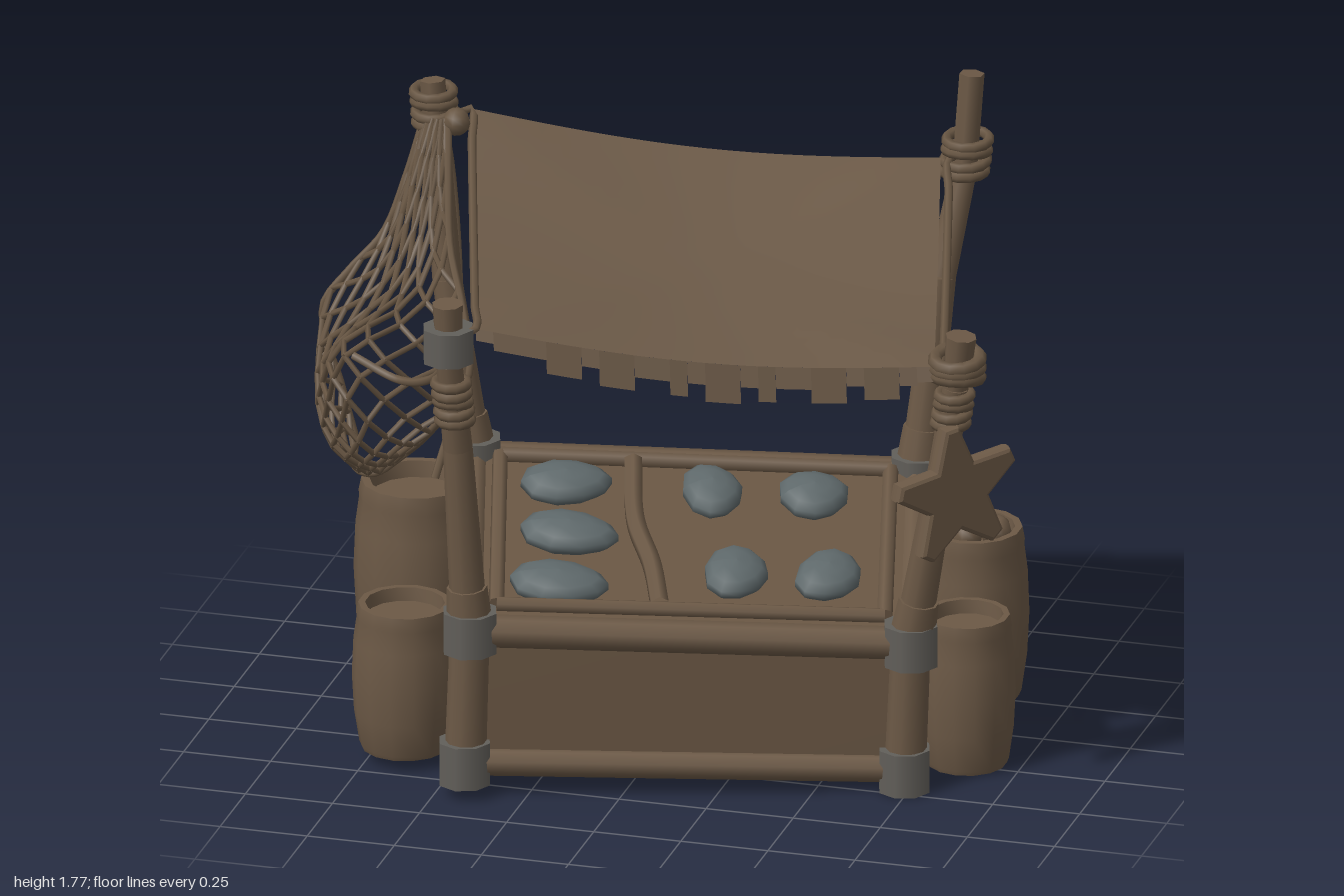
import * as THREE from 'three';
import { mergeGeometries, toCreasedNormals } from 'three/addons/utils/BufferGeometryUtils.js';

const V = (x, y, z) => new THREE.Vector3(x, y, z);
const UP = V(0, 1, 0);
const YAW = 0.31;
const mat = (name, color, side = THREE.FrontSide) => {
  const m = new THREE.MeshStandardMaterial({ color, side });
  m.name = name;
  return m;
};

export function createModel() {
  const wood = mat('wood', 0x6c5946), rope = mat('rope', 0x685643);
  const cloth = mat('cloth', 0x6c5a48, THREE.DoubleSide), board = mat('board', 0x695643, THREE.DoubleSide);
  const fishSkin = mat('fish skin', 0x5e686a), iron = mat('iron', 0x625f5a);
  const root = new THREE.Group();
  root.name = 'marketStall';
  const add = (name, geo, m) => {
    const mesh = new THREE.Mesh(geo, m);
    mesh.name = name;
    root.add(mesh);
    return mesh;
  };

  // Cylinder between two points, r0 at a and r1 at b
  const rod = (a, b, r0, r1 = r0, sides = 10) => {
    const d = b.clone().sub(a), g = new THREE.CylinderGeometry(r1, r0, d.length(), sides);
    g.applyQuaternion(new THREE.Quaternion().setFromUnitVectors(UP, d.normalize()));
    return g.translate((a.x + b.x) / 2, (a.y + b.y) / 2, (a.z + b.z) / 2);
  };
  const tube = (pts, r, n = 20) => new THREE.TubeGeometry(new THREE.CatmullRomCurve3(pts), n, r, 6);
  // Sheet whose point at (u, v) is given by fn
  const sheet = (fn, nu, nv) => {
    const g = new THREE.PlaneGeometry(1, 1, nu, nv), p = g.attributes.position;
    for (let i = 0; i < p.count; i++) {
      const q = fn(p.getX(i) + 0.5, p.getY(i) + 0.5);
      p.setXYZ(i, q.x, q.y, q.z);
    }
    g.computeVertexNormals();
    return g;
  };
  const bilinear = (a, b, c, d) => (u, v) =>
    a.clone().lerp(b, u).lerp(d.clone().lerp(c, u), v);
  const bracket = (p, w, h) =>
    add('ironBracket', new THREE.CylinderGeometry(w * 0.68, w * 0.68, h, 8).rotateY(Math.PI / 8 + YAW).translate(p.x, p.y, p.z), iron);

  // Corners run front right, front left, back left, back right (model's own sides)
  const low = [V(-0.42, 0.1, 0.58), V(0.735, 0.065, 0.21), V(0.55, 0.09, -0.59), V(-0.61, 0.12, -0.22)];
  const mid = [V(-0.405, 0.49, 0.58), V(0.755, 0.44, 0.215), V(0.55, 0.62, -0.56), V(-0.62, 0.68, -0.2)];
  const bend = [V(-0.425, 1.05, 0.63), V(0.86, 1.0, 0.25), V(0.605, 1.2, -0.605), V(-0.7, 1.2, -0.21)];
  const neck = [V(-0.435, 1.32, 0.68), V(0.9, 1.24, 0.27), V(0.65, 1.5, -0.68), V(-0.735, 1.6, -0.23)];
  const top = [V(-0.437, 1.5, 0.69), V(0.917, 1.395, 0.275), V(0.665, 1.77, -0.7), V(-0.75, 1.77, -0.24)];

  // Posts with base collars, brackets and rope coils
  const coils = [[1.14, 5, 0.045], [1.13, 4, 0.045], [1.49, 4, 0.06], [1.65, 4, 0.055]];
  for (let i = 0; i < 4; i++) {
    const foot = low[i].clone().add(V(0, -0.06, 0));
    add('post', mergeGeometries([
      rod(foot, mid[i], 0.058, 0.055),
      rod(mid[i], bend[i], 0.052, 0.041), rod(bend[i], neck[i], 0.041, 0.036),
      rod(neck[i], top[i], 0.036, i < 2 ? 0.044 : 0.036, i < 2 ? 8 : 6),
    ]), wood);
    const collar = mid[i].clone().lerp(bend[i], 0.24);
    add('postCollar', rod(mid[i], collar, 0.066, 0.056), wood);
    bracket(low[i], 0.11, 0.125);
    bracket(mid[i], 0.115, 0.12);
    const [y0, n, r] = coils[i], rings = [];
    const path = new THREE.CatmullRomCurve3([mid[i], bend[i], neck[i], top[i]]);
    const ys = path.getPoints(80);
    const at = y => ys.reduce((b, p) => Math.abs(p.y - y) < Math.abs(b.y - y) ? p : b);
    for (let k = 0; k < n; k++) {
      const p = at(y0 + k * 0.029);
      rings.push(new THREE.TorusGeometry(r, 0.015, 6, 12).rotateX(Math.PI / 2 + 0.12 * Math.sin(k * 2.3)).translate(p.x, y0 + k * 0.029, p.z));
    }
    if (i === 1) for (let k = 0; k < 3; k++)
      rings.push(new THREE.TorusGeometry(0.063, 0.02, 6, 12).rotateX(Math.PI / 2 + 0.15 * (k - 1)).translate(0.905, 1.275 + k * 0.025, 0.272));
    add('ropeCoil', mergeGeometries(rings), rope);
  }
  bracket(V(-0.436, 1.38, 0.685), 0.108, 0.1);

  // Rails and side boards of the counter
  for (let i = 0; i < 4; i++) {
    const j = (i + 1) % 4;
    add('topRail', rod(mid[i], mid[j], 0.046, 0.046, 8), wood);
    add('bottomRail', rod(low[i], low[j], 0.04, 0.04, 8), wood);
    add('sideBoard', sheet(bilinear(low[i], low[j], mid[j], mid[i]), 1, 1), board);
  }

  // Sloping display tray with a raised rim
  const tray = bilinear(...mid.map(p => p.clone().add(V(0, 0.03, 0))));
  add('trayBoard', sheet(tray, 1, 1), board);
  const rim = [[0.06, 0.07], [0.94, 0.07], [0.94, 0.93], [0.06, 0.93]].map(([u, v]) => tray(u, v).add(V(0, 0.015, 0)));
  rim.forEach((p, i) => add('trayRim', rod(p, rim[(i + 1) % 4], 0.022, 0.022, 6), wood));

  // Fish laid out on the tray: u, v, half length, half width, turn
  const along = mid[1].clone().sub(mid[0]).normalize();
  const back = mid[3].clone().sub(mid[0]).normalize();
  const normal = along.clone().cross(back).normalize();
  const basis = new THREE.Matrix4().makeBasis(along, normal, normal.clone().cross(along).negate().negate());
  basis.makeBasis(along, normal, along.clone().cross(normal));
  [[0.21, 0.77, 0.13, 0.09, 0.1], [0.22, 0.48, 0.14, 0.09, -0.15], [0.2, 0.19, 0.14, 0.09, -0.1],
    [0.54, 0.75, 0.085, 0.115, 0.15], [0.6, 0.28, 0.09, 0.115, -0.15],
    [0.77, 0.75, 0.1, 0.1, 0.3], [0.81, 0.28, 0.09, 0.115, -0.4]].forEach(([u, v, l, w, turn]) => {
    const g = new THREE.SphereGeometry(1, 10, 7);
    const p = g.attributes.position;
    for (let i = 0; i < p.count; i++) p.setZ(i, p.getZ(i) * (1 - 0.2 * p.getX(i)));
    g.scale(l, 0.045, w).rotateY(turn).applyMatrix4(basis);
    g.computeVertexNormals();
    const c = tray(u, v).addScaledVector(normal, 0.025);
    add('fish', g.translate(c.x, c.y, c.z), fishSkin);
  });
  add('trayDivider', tube([[0.43, 0.07], [0.41, 0.3], [0.37, 0.55], [0.36, 0.9]].map(([u, v]) => tray(u, v).add(V(0, 0.025, 0))), 0.028), wood);

  // Sagging canopy
  const flat = bilinear(V(-0.36, 1.43, 0.68), V(0.85, 1.31, 0.31), V(0.59, 1.53, -0.65), V(-0.65, 1.68, -0.28));
  const canopy = (u, v) => {
    const su = Math.sin(Math.PI * u), sv = Math.sin(Math.PI * v);
    return flat(u, v).add(V(0, -0.045 * Math.max(su, sv) - 0.035 * su * sv, 0));
  };
  add('canopy', sheet(canopy, 20, 16), cloth);

  // Ragged front valance
  const drops = [0.03, 0.05, 0.05, 0.05, 0.09, 0.09, 0.05, 0.1, 0.1, 0.06, 0.06, 0.1, 0.06, 0.11, 0.11, 0.06, 0.1, 0.06, 0.06, 0.1, 0.1, 0.05, 0.09, 0.09, 0.05, 0.04];
  add('valance', mergeGeometries(drops.map((d, i) => sheet((u, v) => {
    const p = canopy((i + u) / drops.length, 0);
    return p.add(V(0.006 * (1 - v), -d * (1 - v), 0.012 * (1 - v)));
  }, 1, 1))), cloth);

  // Ropes along the canopy edges and ties to the posts
  const edge = f => Array.from({ length: 9 }, (_, i) => f(i / 8));
  add('edgeRope', tube([neck[3].clone().add(V(0.04, 0.07, 0.03)), ...edge(t => canopy(0, 1 - t)), V(-0.43, 1.38, 0.66)], 0.012, 40), rope);
  add('edgeRope', tube([V(0.66, 1.54, -0.68), ...edge(t => canopy(1, 1 - t).add(V(0.025, 0, 0))), V(0.9, 1.3, 0.27)], 0.012, 40), rope);
  add('hangingRope', tube([V(-0.74, 1.7, -0.27), V(-0.73, 1.45, -0.36), V(-0.7, 1.1, -0.33), V(-0.69, 0.8, -0.25), V(-0.72, 0.62, -0.16)], 0.012), rope);
  add('netTie', tube([V(-0.44, 1.32, 0.65), V(-0.52, 1.22, 0.57), V(-0.64, 1.17, 0.48), V(-0.78, 1.21, 0.44)], 0.012), rope);
  add('cornerKnot', new THREE.SphereGeometry(0.04, 8, 6).translate(-0.67, 1.67, -0.2), rope);

  // Fishing net: rows of guide points from the post top to the hem
  const rows = [
    [V(-0.76, 1.68, -0.2), V(-0.74, 1.68, -0.18), V(-0.71, 1.68, -0.18), V(-0.69, 1.68, -0.19)],
    [V(-0.85, 1.36, -0.1), V(-0.8, 1.3, 0.02), V(-0.73, 1.28, 0.06), V(-0.63, 1.38, 0)],
    [V(-1, 1.16, -0.02), V(-0.94, 1.08, 0.2), V(-0.79, 1.21, 0.45), V(-0.51, 1.11, 0.22)],
    [V(-0.95, 0.95, -0.01), V(-0.92, 0.9, 0.25), V(-0.76, 0.92, 0.4), V(-0.62, 0.92, 0.2)],
    [V(-0.9, 0.78, 0), V(-0.86, 0.75, 0.14), V(-0.8, 0.75, 0.16), V(-0.73, 0.79, 0.08)],
  ].map(r => new THREE.CatmullRomCurve3(r));
  const net = (s, t) => new THREE.CatmullRomCurve3(rows.map(r => r.getPoint(s))).getPoint(t);
  const NC = 14, NR = 18, strands = [];
  for (let j = 0; j < NR; j++) for (let i = 0; i <= NC; i++) {
    if ((i + j) % 2) continue;
    for (const k of [i - 1, i + 1]) if (k >= 0 && k <= NC)
      strands.push(rod(net(i / NC, j / NR), net(k / NC, (j + 1) / NR), 0.0085, 0.0085, 5));
  }
  add('net', mergeGeometries(strands), rope);
  for (const s of [0, 1]) add('netBorder', tube(edge(t => net(s, t)), 0.011, 30), rope);
  add('netHem', tube(edge(t => net(t, 1)), 0.011, 20), rope);

  // Open barrels: x, z, bottom, height, radius
  const profile = [[0, 0], [0.82, 0], [0.86, 0.03], [0.96, 0.25], [1, 0.5], [0.97, 0.75], [0.91, 0.9], [0.92, 0.93], [0.88, 1], [0.75, 1], [0.72, 0.91], [0, 0.91]];
  [[-0.785, -0.205, 0.07, 0.525, 0.175], [-0.655, 0.36, 0.035, 0.425, 0.147],
    [0.845, -0.03, 0.005, 0.44, 0.135], [0.735, -0.465, 0.025, 0.5, 0.157]].forEach(([x, z, y, h, r]) => {
    const g = new THREE.LatheGeometry(profile.map(([a, b]) => new THREE.Vector2(a * r, b * h)), 14);
    add('barrel', toCreasedNormals(g, 0.6), wood).position.set(x, y, z);
  });
  for (const [x, z] of [[0.72, -0.53], [0.73, -0.42], [0.8, -0.47]])
    add('barrelGoods', new THREE.SphereGeometry(0.046, 8, 6).translate(x, 0.515, z), wood);

  // Starfish hung on the front left post
  const star = new THREE.Shape();
  for (let i = 0; i < 10; i++) {
    const a = Math.PI / 2 + i * Math.PI / 5, r = i % 2 ? 0.092 : 0.19;
    for (const o of i % 2 ? [0] : [-0.08, 0.08]) {
      const x = r * Math.cos(a + o), y = r * Math.sin(a + o);
      if (i === 0 && o < 0) star.moveTo(x, y); else star.lineTo(x, y);
    }
  }
  const starGeo = new THREE.ExtrudeGeometry(star, { depth: 0.015, bevelThickness: 0.018, bevelSize: 0.012, bevelSegments: 2 });
  const starfish = add('starfish', starGeo, wood);
  starfish.position.set(0.9, 0.94, 0.3);
  starfish.rotation.set(0, 0.88, 0.1);
  return root;
}
